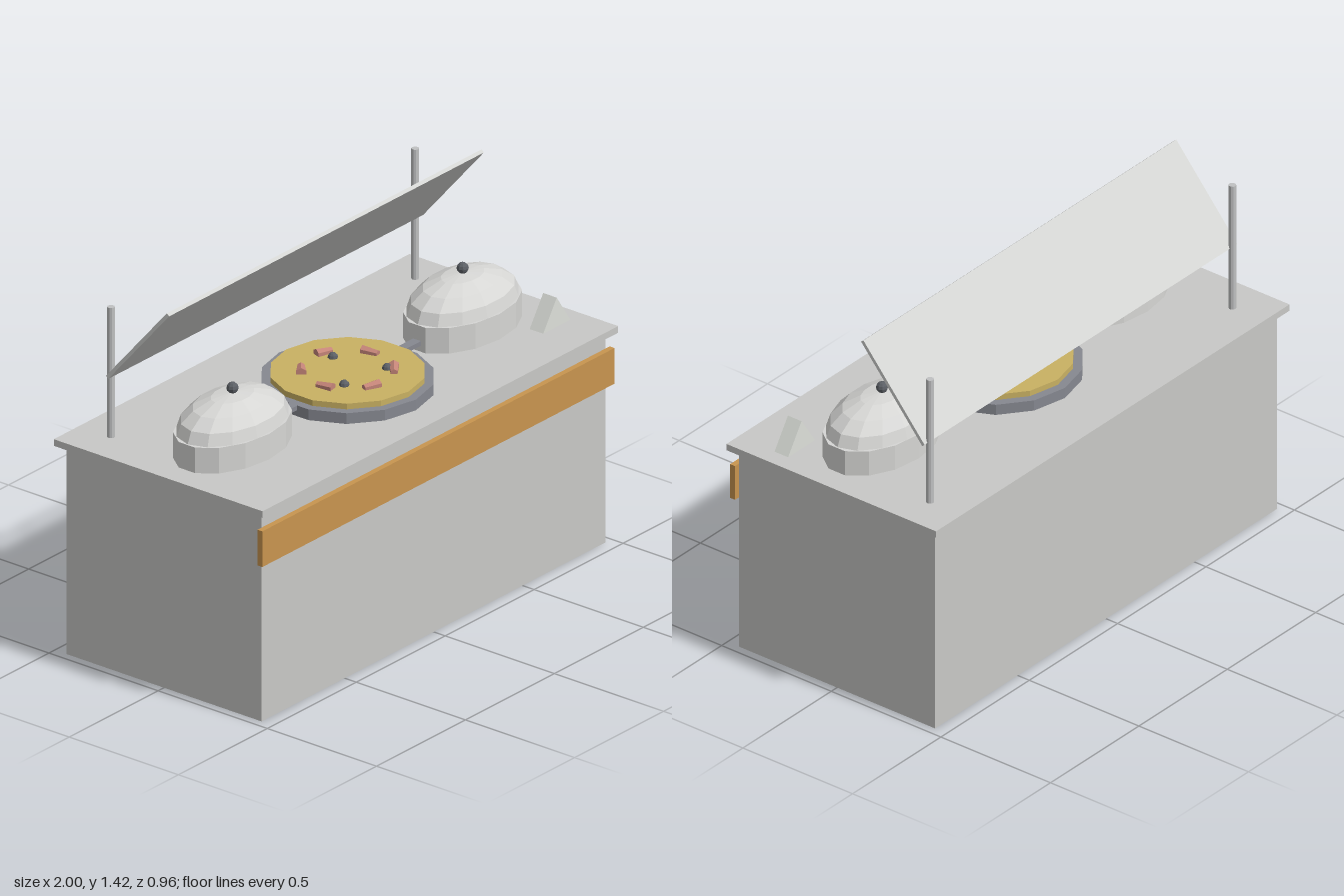
import * as THREE from 'three';

const mat = (name, color) => {
  const m = new THREE.MeshStandardMaterial({ color, flatShading: true });
  m.name = name;
  return m;
};

export function createModel() {
  const root = new THREE.Group();
  root.name = 'buffetCounter';
  const steel = mat('counterSteel', 0xc8c8c6);
  const wood = mat('wood', 0xc8954f);
  const panelMat = mat('paleGlass', 0xd3d4d2);
  const domeMat = mat('polishedSteel', 0xd6d6d4);
  const poleMat = mat('poleMetal', 0xc0c1c2);
  const panMat = mat('panGrey', 0x868890);
  const knobMat = mat('darkGrey', 0x5c6066);
  const pizzaMat = mat('cheese', 0xc9b163);
  const meatMat = mat('meat', 0xc48478);
  const cardMat = mat('card', 0xdde0da);

  const add = (name, geo, m, x, y, z, parent = root) => {
    const mesh = new THREE.Mesh(geo, m);
    mesh.name = name;
    mesh.position.set(x, y, z);
    parent.add(mesh);
    return mesh;
  };
  const box = (w, h, d) => new THREE.BoxGeometry(w, h, d);
  const cyl = (a, b, h, n) => new THREE.CylinderGeometry(a, b, h, n);

  // Counter
  add('counterBody', box(1.934, 0.82, 0.894), steel, 0, 0.41, 0);
  add('counterTop', box(2, 0.026, 0.956), steel, 0, 0.832, 0);
  add('woodRail', box(1.98, 0.14, 0.022), wood, 0, 0.69, 0.458);

  // Sloped guard on two poles
  for (const s of [1, -1]) {
    add('guardPole', cyl(0.014, 0.014, 0.51, 10), poleMat, s * 0.855, 1.1, -0.334);
  }
  const guard = add('guardPanel', box(1.77, 0.43, 0.014), panelMat, 0, 1.254, -0.188);
  guard.rotation.x = 0.705;

  // Domed dishes: oval rim, half-sphere lid, knob
  for (const s of [1, -1]) {
    const dish = new THREE.Group();
    dish.name = 'domedDish';
    dish.position.set(s * 0.647, 0.845, 0.053);
    root.add(dish);
    const rim = add('dishRim', cyl(1, 1, 0.1, 14), domeMat, 0, 0.05, 0, dish);
    rim.scale.set(0.263, 1, 0.169);
    const lid = add('dishLid', new THREE.SphereGeometry(1, 14, 4, 0, Math.PI * 2, 0, Math.PI / 2),
      domeMat, 0, 0.1, 0, dish);
    lid.scale.set(0.252, 0.116, 0.164);
    add('lidKnob', new THREE.SphereGeometry(0.022, 8, 6), knobMat, 0, 0.231, 0, dish);
  }

  // Pan with two handles and a flat pizza
  const pan = new THREE.Group();
  pan.name = 'pizzaPan';
  pan.position.set(0, 0.845, 0.053);
  root.add(pan);
  add('panBody', cyl(0.313, 0.313, 0.042, 14), panMat, 0, 0.021, 0, pan);
  for (const s of [1, -1]) {
    add('panHandle', box(0.14, 0.018, 0.036), panMat, s * 0.355, 0.033, 0, pan);
  }
  add('pizza', cyl(0.28, 0.28, 0.022, 14), pizzaMat, 0, 0.053, 0, pan);

  // Meat pieces lie along the ring, tapering to one end
  for (let i = 0; i < 6; i++) {
    const a = THREE.MathUtils.degToRad(170 - 60 * i);
    const holder = new THREE.Group();
    holder.name = 'meatPiece';
    holder.position.set(Math.cos(a) * 0.165, 0.068, Math.sin(a) * 0.165);
    holder.rotation.y = -a;
    pan.add(holder);
    const piece = add('meatStrip', cyl(0.014, 0.021, 0.064, 6), meatMat, 0, 0, 0, holder);
    piece.rotation.x = Math.PI / 2;
  }
  // Olives
  for (const [x, z] of [[-0.105, 0.07], [0.1, 0.1], [0.05, -0.108]]) {
    add('olive', new THREE.SphereGeometry(0.019, 8, 6), knobMat, x, 0.066, z, pan);
  }

  // Folded place card
  const tri = new THREE.Shape([
    new THREE.Vector2(-0.076, 0), new THREE.Vector2(0.076, 0), new THREE.Vector2(0, 0.114)]);
  add('placeCard', new THREE.ExtrudeGeometry(tri, { depth: 0.062, bevelEnabled: false }),
    cardMat, 0.858, 0.845, 0.25);

  return root;
}
